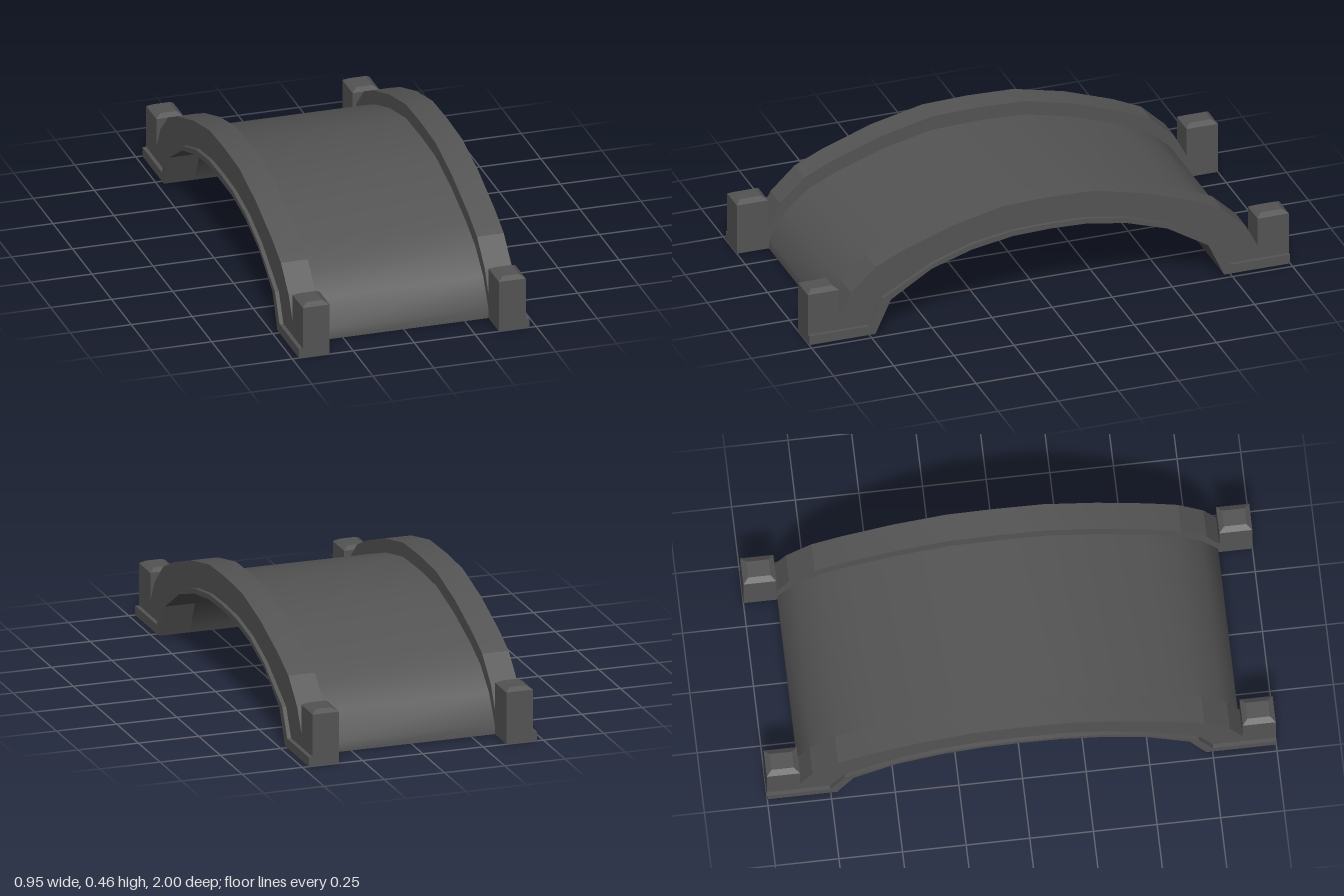
import * as THREE from 'three';
import { toCreasedNormals } from 'three/addons/utils/BufferGeometryUtils.js';

// Half profiles as [z, y], from the foot up to the crown
const soffit = [[0.725, 0], [0.66, 0.14], [0.49, 0.245], [0.32, 0.3], [0.15, 0.328], [0, 0.333]];
const trimTop = [[1, 0.038], [0.752, 0.038], [0.695, 0.15], [0.65, 0.175], [0.48, 0.268], [0.32, 0.322], [0.15, 0.35], [0, 0.354]];
const deckTop = [[0.867, 0], [0.865, 0.04], [0.8, 0.15], [0.7, 0.235], [0.58, 0.29], [0.39, 0.355], [0.19, 0.4], [0, 0.406]];
const parapetTop = [[1, 0], [1, 0.212], [0.87, 0.212], [0.87, 0.095], [0.82, 0.19], [0.72, 0.285], [0.6, 0.34], [0.4, 0.41], [0.19, 0.458], [0, 0.464]];

// Mirror a half profile into a full line from +z to -z
function fullLine(half) {
  const back = half.slice(0, -1).reverse().map(([z, y]) => [-z, y]);
  return [...half, ...back];
}

// Slab between an upper and a lower line, running across from x0 to x1
function archSlab(upper, lower, x0, x1, crease) {
  const points = [...fullLine(upper), ...fullLine(lower).reverse()];
  const shape = new THREE.Shape(points.map(([z, y]) => new THREE.Vector2(z, y)));
  const geo = new THREE.ExtrudeGeometry(shape, { depth: x1 - x0, bevelEnabled: false });
  geo.rotateY(Math.PI / 2).translate(x0, 0, 0);
  return toCreasedNormals(geo, crease);
}

// Shallow cap whose top face is drawn in to form a chamfer
function capGeometry(w, h, d) {
  const geo = new THREE.BoxGeometry(w, h, d).toNonIndexed();
  const p = geo.attributes.position;
  for (let i = 0; i < p.count; i++) {
    if (p.getY(i) > 0) p.setXYZ(i, p.getX(i) * 0.6, p.getY(i), p.getZ(i) * 0.68);
  }
  geo.computeVertexNormals();
  return geo;
}

export function createModel() {
  const model = new THREE.Group();
  model.name = 'archBridge';
  const stone = new THREE.MeshStandardMaterial({ color: 0x545454 });
  stone.name = 'dark grey stone';

  function add(name, geo, parent = model) {
    const mesh = new THREE.Mesh(geo, stone);
    mesh.name = name;
    parent.add(mesh);
    return mesh;
  }

  // Curved roadway
  add('deck', archSlab(deckTop, soffit, -0.347, 0.347, 0.7));

  // Parapets with end posts, and the raised lower rim on the outside
  for (const side of [1, -1]) {
    const edge = new THREE.Group();
    edge.name = side > 0 ? 'leftEdge' : 'rightEdge';
    model.add(edge);
    const span = (a, b) => (side > 0 ? [a, b] : [-b, -a]);
    add('parapet', archSlab(parapetTop, soffit, ...span(0.347, 0.457), 0.2), edge);
    add('rim', archSlab([[1, 0], ...trimTop], soffit, ...span(0.457, 0.473), 0.2), edge);
    for (const end of [1, -1]) {
      add('postCap', capGeometry(0.11, 0.014, 0.13), edge).position.set(side * 0.402, 0.219, end * 0.935);
    }
  }
  return model;
}
